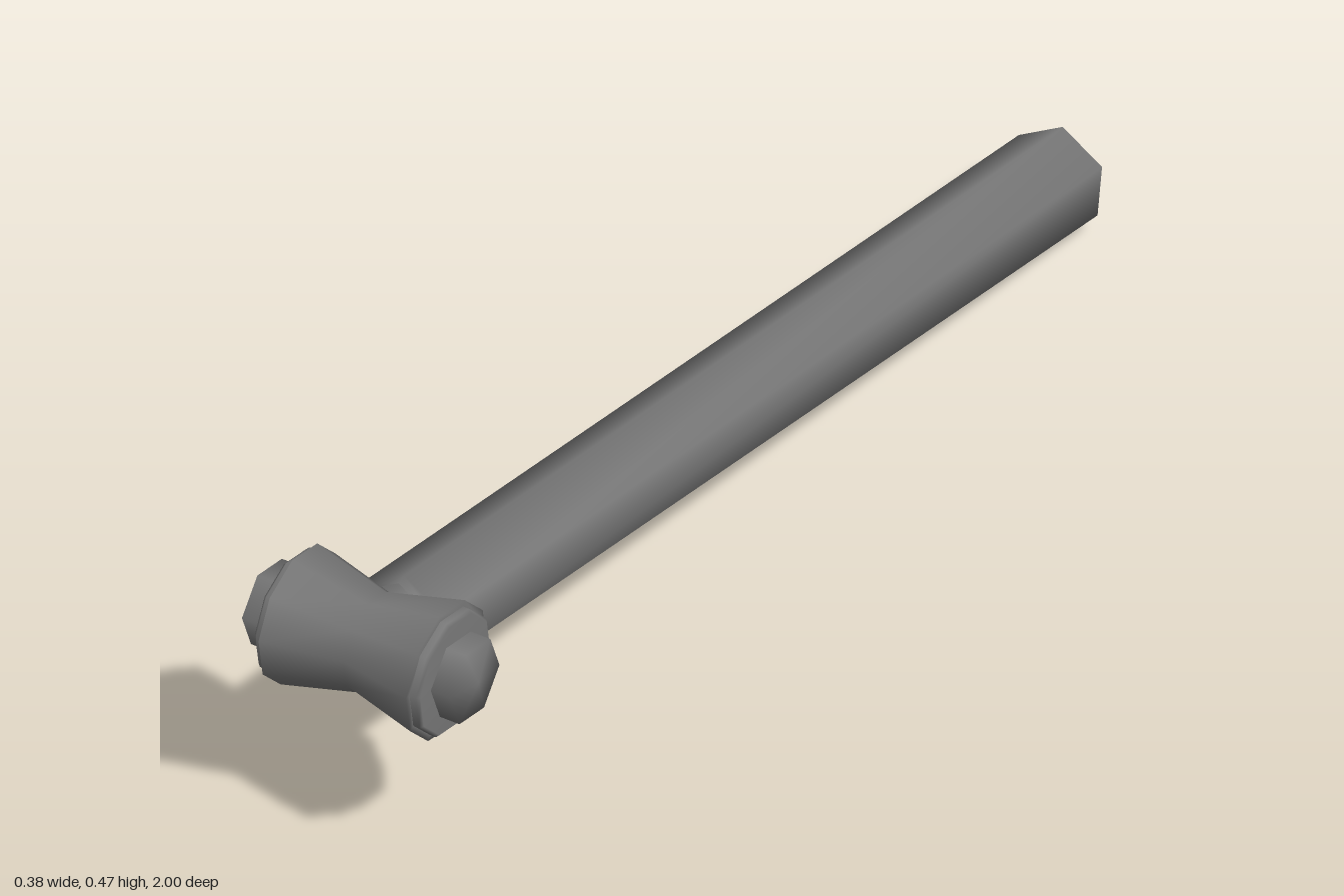
import * as THREE from 'three';
import { mergeVertices } from 'three/addons/utils/BufferGeometryUtils.js';

const TILT = 0.149;       // upward slope of the tube
const LENGTH = 1.9;       // hub centre to open tube end
const darkGrey = new THREE.MeshStandardMaterial({ color: 0x777777 });
const darkGreyOpen = new THREE.MeshStandardMaterial({ color: 0x777777, side: THREE.DoubleSide });

// Turned part from [radius, height] pairs, with one smooth normal per corner
function turned(name, profile, sides, material = darkGrey) {
  const points = profile.map(([r, h]) => new THREE.Vector2(r, h));
  const lathe = new THREE.LatheGeometry(points, sides);
  lathe.deleteAttribute('uv');
  lathe.deleteAttribute('normal');
  const geometry = mergeVertices(lathe);
  geometry.computeVertexNormals();
  const mesh = new THREE.Mesh(geometry, material);
  mesh.name = name;
  return mesh;
}

export function createModel() {
  const model = new THREE.Group();
  model.name = 'pivotArm';

  // Everything shares the tilted frame centred on the pivot
  const arm = new THREE.Group();
  arm.name = 'tiltedArm';
  arm.position.set(0, 0.366, 0.888);
  arm.rotation.x = -TILT;
  model.add(arm);

  // Hollow hexagonal tube, open at the back, slightly wider than high
  const tube = turned('tube', [
    [0.083, 0], [0.083, LENGTH - 0.075], [0.076, LENGTH - 0.06],
  ], 6, darkGreyOpen);
  tube.rotation.x = Math.PI / 2;
  tube.position.z = -LENGTH;
  tube.scale.x = 1.036;
  arm.add(tube);

  // Cross parts lie along x
  const pivot = new THREE.Group();
  pivot.name = 'pivot';
  pivot.rotation.z = -Math.PI / 2;
  arm.add(pivot);

  // Waisted bushing, its ends closed by the washers
  pivot.add(turned('bushing', [
    [0.1, -0.132], [0.112, -0.132], [0.08, 0], [0.112, 0.132], [0.1, 0.132],
  ], 10));

  // Bevelled washers on both ends
  for (const side of [-1, 1]) {
    const washer = turned(side > 0 ? 'leftWasher' : 'rightWasher', [
      [0.102, 0.125], [0.102, 0.143], [0.097, 0.148], [0, 0.148],
    ], 10);
    if (side < 0) washer.rotation.x = Math.PI;
    pivot.add(washer);
  }

  // Hexagonal bolt: flat end on the right, slightly domed head on the left
  pivot.add(turned('bolt', [
    [0, -0.19], [0.068, -0.19], [0.068, 0.183], [0, 0.19],
  ], 6));

  return model;
}
